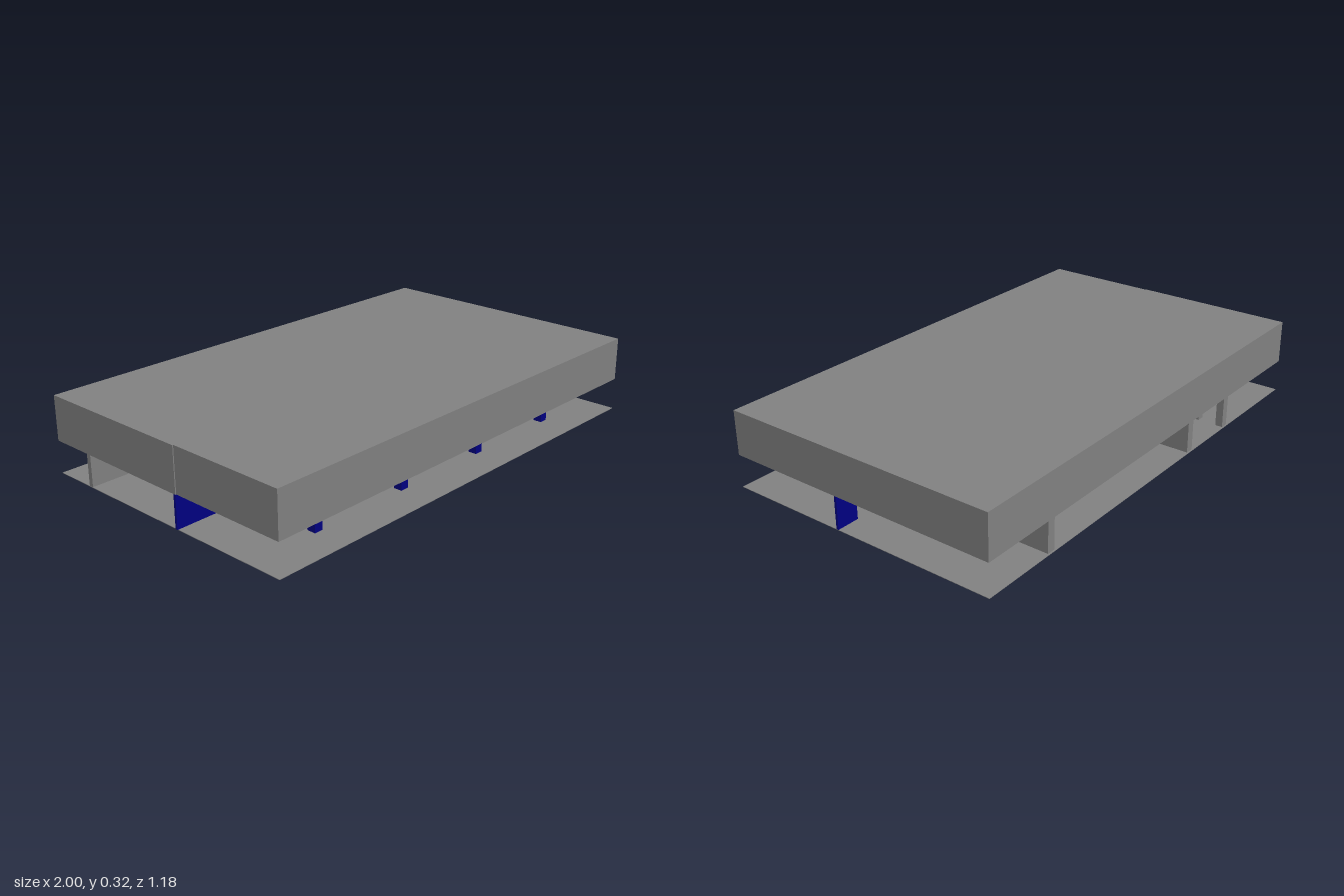
import * as THREE from 'three';

export function createModel() {
  const model = new THREE.Group();
  const grey = new THREE.MeshStandardMaterial({ color: 0x808080 });
  grey.name = 'concrete grey';
  const navy = new THREE.MeshStandardMaterial({ color: 0x000080 });
  navy.name = 'navy blue';

  // Box given by its limits on each axis
  function block(name, material, [x0, x1], [y0, y1], [z0, z1]) {
    const mesh = new THREE.Mesh(new THREE.BoxGeometry(x1 - x0, y1 - y0, z1 - z0), material);
    mesh.position.set((x0 + x1) / 2, (y0 + y1) / 2, (z0 + z1) / 2);
    mesh.name = name;
    model.add(mesh);
  }

  const floorY = 0.005, eaves = 0.138, top = 0.32;
  const back = -0.592, front = 0.592, facade = 0.095;
  const lower = [floorY, eaves], upper = [eaves, top], full = [floorY, top - 0.006];

  // Floor plate
  block('floor', grey, [-0.996, 1], [0.003, floorY], [back, front]);

  // Solid front canopy, and a hollow roof shell over the rooms
  block('canopy', grey, [-0.996, 1], upper, [facade - 0.01, front]);
  block('roofTop', grey, [-1, 1], [top - 0.006, top], [back, facade - 0.01]);
  block('backFascia', grey, [-1, 1], upper, [back, back + 0.006]);
  block('leftFascia', grey, [0.994, 1], upper, [back, facade - 0.01]);
  block('rightFascia', grey, [-1, -0.994], upper, [back, facade]);

  // Front wall panels between three door openings, with thresholds
  const doors = [[-0.355, -0.277], [0.447, 0.525], [0.828, 0.906]];
  let start = -1;
  for (const [x0, x1] of [...doors, [1, 1]]) {
    block('frontWall', navy, [start, x0], lower, [facade - 0.01, facade]);
    start = x1;
  }
  for (const door of doors) block('threshold', grey, door, [0, floorY], [facade - 0.01, facade]);

  // Partition walls running from front to back
  for (const x of [-0.255, 0.663]) {
    block('partition', grey, [x - 0.018, x + 0.018], full, [-0.586, facade - 0.01]);
  }

  // Small corner room with a doorway in its side wall
  const side = [-0.553, -0.52];
  block('roomBackWall', grey, [-0.994, side[1]], full, [-0.42, -0.4]);
  block('roomDoorJamb', grey, side, lower, [-0.586, -0.555]);
  block('roomDoorJamb', grey, side, lower, [-0.476, -0.42]);
  block('roomDoorLintel', grey, side, [eaves - 0.008, full[1]], [-0.586, -0.42]);
  block('roomThreshold', grey, side, [0, floorY], [-0.555, -0.476]);

  // Columns under the canopy
  for (let i = 0; i < 4; i++) {
    const x = -0.682 + i * 0.451;
    block('column', navy, [x - 0.018, x + 0.018], lower, [0.42, 0.457]);
  }
  return model;
}
